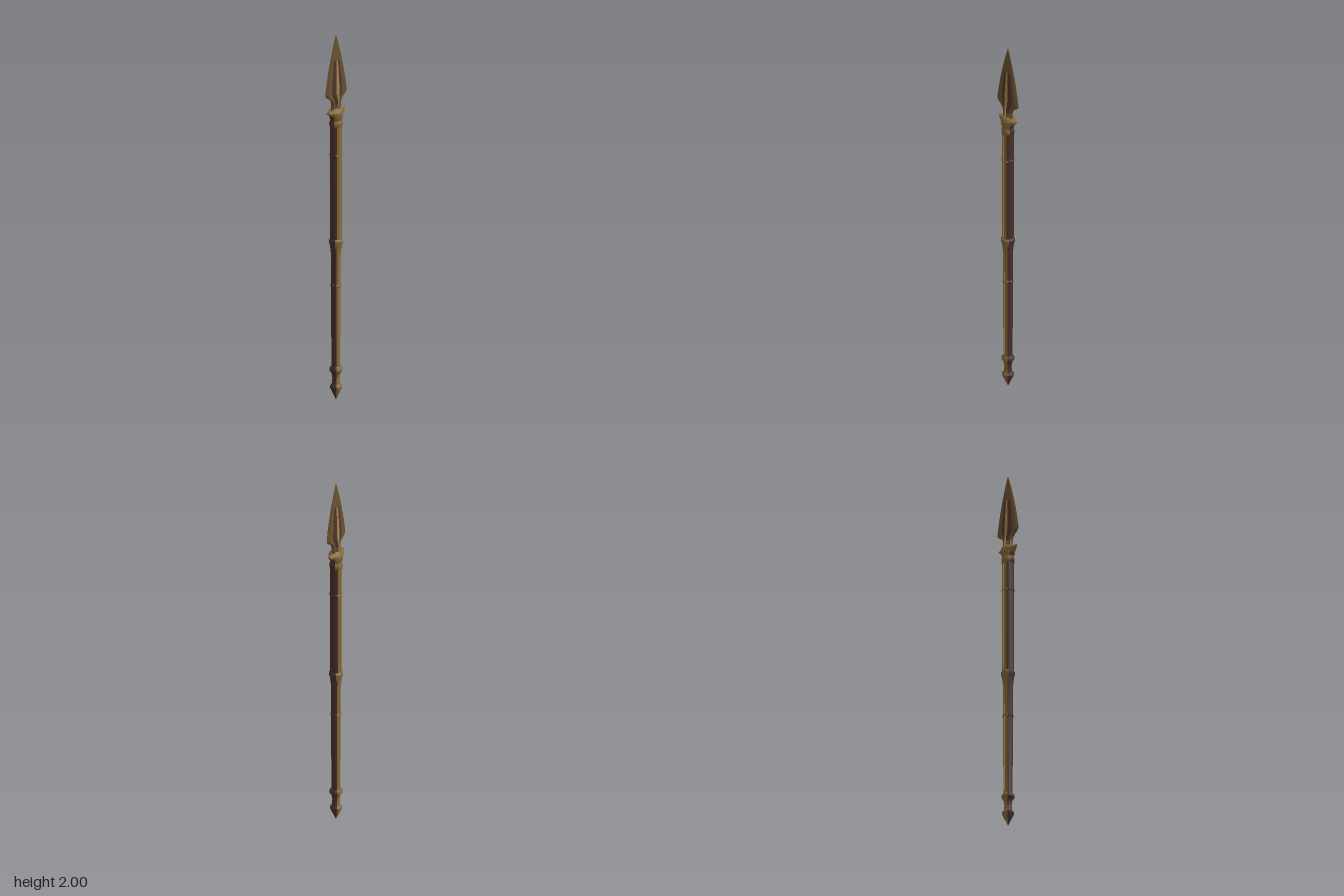
import * as THREE from 'three';
import { toCreasedNormals } from 'three/addons/utils/BufferGeometryUtils.js';

const material = (name, color, side = THREE.FrontSide) => {
  const m = new THREE.MeshStandardMaterial({ color, side });
  m.name = name;
  return m;
};

// Skin a list of equal-length rings; pick(row, column) gives the material index.
function loft(rings, pick = () => 0) {
  const n = rings[0].length, pos = [], geo = new THREE.BufferGeometry();
  const buckets = {};
  for (let i = 0; i < rings.length - 1; i++) {
    for (let j = 0; j < n; j++) {
      const k = (j + 1) % n, a = rings[i][j], b = rings[i][k], c = rings[i + 1][j], d = rings[i + 1][k];
      (buckets[pick(i, j)] ??= []).push(...a, ...c, ...b, ...b, ...c, ...d);
    }
  }
  for (const [index, list] of Object.entries(buckets)) {
    geo.addGroup(pos.length / 3, list.length / 3, Number(index));
    for (const v of list) pos.push(v);
  }
  geo.setAttribute('position', new THREE.Float32BufferAttribute(pos, 3));
  geo.computeVertexNormals();
  return geo;
}

export function createModel() {
  const spear = new THREE.Group();
  spear.name = 'spear';
  const gold = material('aged gold', 0x86683a);
  const bright = material('polished gold', 0xa58850);
  const bronze = material('blade bronze', 0x6a5230);
  const recess = material('dark recess', 0x50362a);
  const brown = material('brown leather', 0x48302a);

  const add = (name, geo, mat, parent = spear) => {
    const mesh = new THREE.Mesh(geo, mat);
    mesh.name = name;
    parent.add(mesh);
    return mesh;
  };

  // Turned part: gold faces front and back, brown faces on both sides
  const turned = (name, profile, half) => {
    const group = new THREE.Group();
    group.name = name;
    const pts = profile.map(([r, y]) => new THREE.Vector2(r, y));
    for (const turn of [0, Math.PI]) {
      const sector = (label, start, length, mat) => add(label,
        toCreasedNormals(new THREE.LatheGeometry(pts, 8, start + turn, length), 0.6), mat, group);
      sector(name + 'Face', -half, half * 2, gold);
      sector(name + 'Side', half, Math.PI - half * 2, brown);
    }
    spear.add(group);
  };

  // Butt spike with its two flares
  turned('buttSpike', [[0, 0.005], [0.012, 0.03], [0.03, 0.068], [0.031, 0.08], [0.022, 0.092],
    [0.019, 0.12], [0.023, 0.15], [0.034, 0.165], [0.034, 0.176], [0.025, 0.19]], 0.75);

  // Lower and upper shaft
  turned('lowerShaft', [[0.024, 0.185], [0.0255, 0.6], [0.027, 0.81], [0.031, 0.845]], 0.72);
  turned('upperShaft', [[0.031, 0.87], [0.031, 1.2], [0.032, 1.52]], 0.62);

  // Middle collar, neck collar and thin rings
  turned('middleCollar', [[0.029, 0.83], [0.032, 0.85], [0.037, 0.866], [0.037, 0.878], [0.031, 0.886]], 0.95);
  turned('neckCollar', [[0.031, 1.5], [0.035, 1.506], [0.035, 1.525], [0.031, 1.531], [0.031, 1.543],
    [0.037, 1.553], [0.037, 1.575], [0.03, 1.592], [0.02, 1.602]], 1.1);
  for (const [y, r] of [[0.63, 0.029], [1.345, 0.0335]]) {
    turned('bindingRing', [[r - 0.004, y - 0.008], [r, y - 0.004], [r, y + 0.004], [r - 0.004, y + 0.008]], 0.8);
  }

  // Fine polished lines down the front and back of the shaft
  for (const side of [1, -1]) {
    for (const [y, len, z] of [[0.5, 0.6, 0.0255], [1.19, 0.6, 0.0315]]) {
      add('inlayLine', new THREE.BoxGeometry(0.007, len, 0.004), bright).position.set(0, y, side * z);
    }
  }

  // Winged guard: half x, low y, high y, half depth
  const wing = [[0, 1.545, 1.605, 0.037], [0.018, 1.547, 1.603, 0.034], [0.034, 1.556, 1.595, 0.023],
    [0.05, 1.568, 1.588, 0.013], [0.062, 1.579, 1.591, 0.009], [0.067, 1.589, 1.591, 0.001]];
  const sections = [...wing.slice(1).reverse().map(([x, ...rest]) => [-x, ...rest]), ...wing];
  const guardRings = sections.map(([x, low, high, depth]) => Array.from({ length: 12 }, (_, i) => {
    const a = i / 12 * Math.PI * 2;
    return [x, (low + high) / 2 + Math.sin(a) * (high - low) / 2, Math.cos(a) * depth];
  }));
  add('wingedGuard', toCreasedNormals(loft(guardRings), 0.7), gold);

  // Blade: height, half width, ridge half depth
  const rows = [[1.595, 0.034, 0.028], [1.625, 0.031, 0.026], [1.645, 0.038, 0.024], [1.66, 0.054, 0.023],
    [1.668, 0.069, 0.022], [1.682, 0.082, 0.021], [1.74, 0.072, 0.018], [1.8, 0.06, 0.0145],
    [1.86, 0.045, 0.011], [1.92, 0.028, 0.007], [1.965, 0.013, 0.004], [2, 0.0003, 0.0003]];
  const bladeRings = rows.map(([y, w, d]) => {
    const edge = Math.min(0.01, d * 0.55);
    const half = [[w, 0], [w * 0.84, edge], [w * 0.48, edge * 0.8], [w * 0.14, d * 0.75], [0, d]];
    const front = [...half, ...half.slice(0, 4).reverse().map(([x, z]) => [-x, z])];
    const back = front.slice(1, -1).reverse().map(([x, z]) => [x, -z]);
    return [...front, ...back].map(([x, z]) => [x, y, z]);
  });
  // Strips from edge to ridge: bevel, flat, hollow, ridge
  const bladePick = (row, column) => {
    const strip = column % 8, s = strip < 4 ? strip : 7 - strip;
    if (s === 3) return row < 8 ? 2 : 0;
    return s === 2 && row > 0 && row < 8 ? 1 : 0;
  };
  add('blade', loft(bladeRings, bladePick), [bronze, recess, bright]);

  return spear;
}
